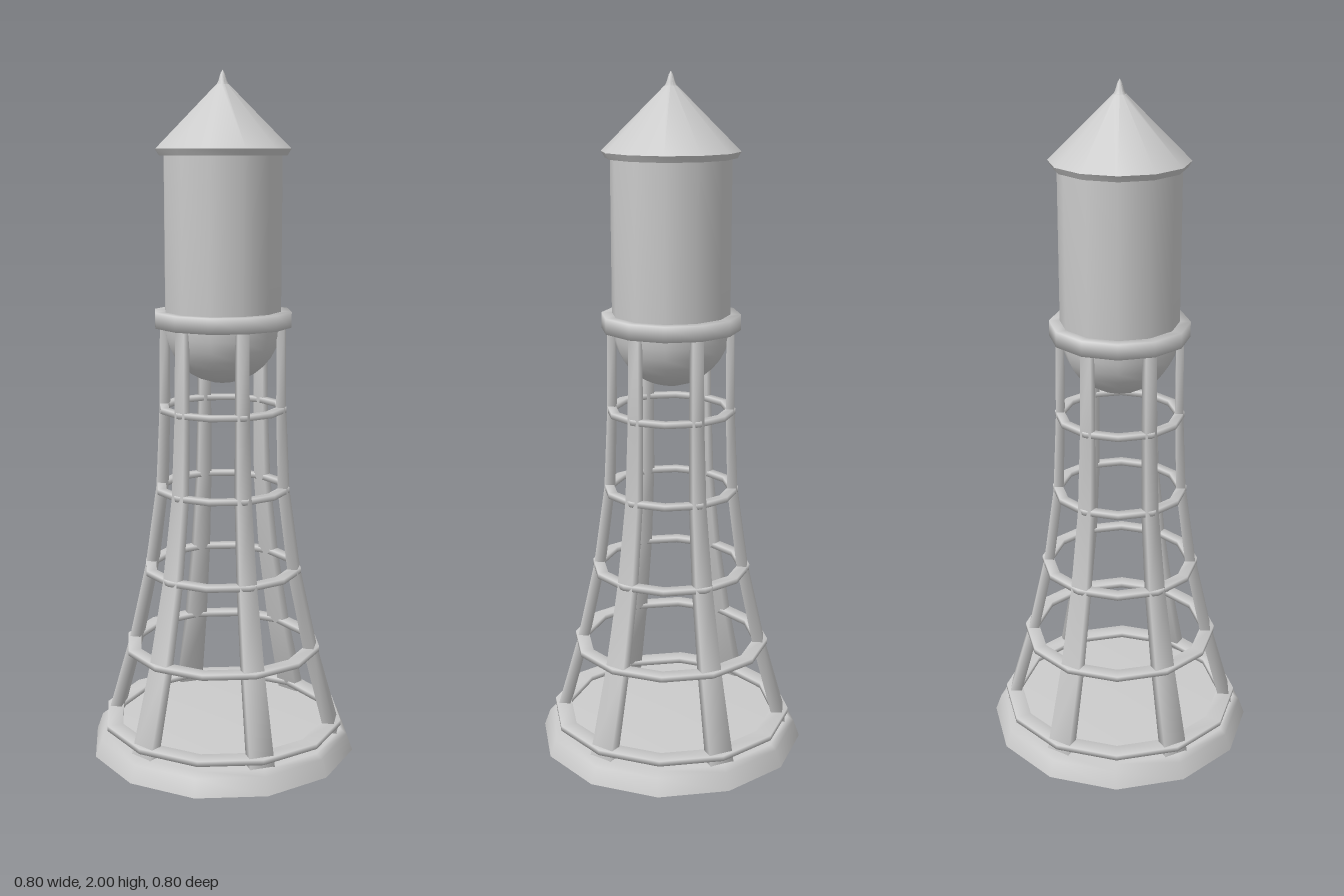
import * as THREE from 'three';
import { mergeVertices, toCreasedNormals } from 'three/addons/utils/BufferGeometryUtils.js';

const SIDES = 12;
const CREASE = THREE.MathUtils.degToRad(34);

// Soft shading across every edge
function softened(geometry) {
  geometry.deleteAttribute('uv');
  geometry.deleteAttribute('normal');
  const merged = mergeVertices(geometry, 1e-4);
  merged.computeVertexNormals();
  return merged;
}

const creased = (geometry) => toCreasedNormals(geometry, CREASE);

// Twelve-sided turned part; profile is [radius, y] from bottom to top on the outside
const turned = (profile) =>
  new THREE.LatheGeometry(profile.map(([r, y]) => new THREE.Vector2(r, y)), SIDES);

// Flat band with a rectangular section
const band = (inner, outer, y0, y1) =>
  turned([[inner, y0], [outer, y0], [outer, y1], [inner, y1], [inner, y0]]);

export function createModel() {
  const model = new THREE.Group();
  model.name = 'waterTower';
  const grey = new THREE.MeshStandardMaterial({ color: 0xcccccc });
  const greyShell = new THREE.MeshStandardMaterial({ color: 0xcccccc, side: THREE.DoubleSide });

  const add = (name, geometry, material = grey) => {
    const mesh = new THREE.Mesh(geometry, material);
    mesh.name = name;
    model.add(mesh);
    return mesh;
  };

  // Base: a shallow shell, open underneath
  add('base', softened(turned([[0.4, 0], [0.382, 0.05], [0.363, 0.064], [0, 0.064]])), greyShell);

  // Horizontal bracing rings: [outer radius, height]
  const rings = [[0.363, 0.085], [0.295, 0.315], [0.237, 0.556], [0.2, 0.8], [0.189, 1.04]];
  rings.forEach(([r, y], i) => add('braceRing' + (i + 1), softened(band(r * 0.865, r, y - 0.008, y + 0.008))));

  // Flared, tapering legs: [y, centre radius, half depth, half width]
  const stations = [
    [0.06, 0.338, 0.018, 0.037], [0.315, 0.268, 0.016, 0.031], [0.556, 0.216, 0.015, 0.026],
    [0.8, 0.183, 0.014, 0.021], [1.04, 0.174, 0.012, 0.018], [1.29, 0.172, 0.011, 0.017],
  ];
  const spans = stations.length - 1;
  const box = new THREE.BoxGeometry(2, spans, 2, 1, spans, 1);
  const p = box.attributes.position;
  for (let i = 0; i < p.count; i++) {
    const [y, r, depth, width] = stations[Math.round(p.getY(i) + spans / 2)];
    p.setXYZ(i, r + p.getX(i) * depth, y, p.getZ(i) * width);
  }
  const legGeometry = softened(box);
  for (let i = 0; i < 6; i++) add('leg' + (i + 1), legGeometry).rotation.y = (i * Math.PI) / 3;

  // Walkway around the foot of the tank
  add('walkway', softened(band(0.15, 0.202, 1.28, 1.325)));

  // Tank with rounded bottom
  const bowl = [];
  for (let i = 0; i <= 8; i++) {
    const a = (i / 8) * Math.PI / 2;
    bowl.push([0.171 * Math.sin(a), 1.286 - 0.171 * Math.cos(a)]);
  }
  add('tank', creased(turned([...bowl, [0.172, 1.78], [0, 1.78]])));

  // Conical roof with undercut eave, and slender pointed finial
  add('roof', creased(turned([[0, 1.765], [0.186, 1.765], [0.197, 1.783], [0.018, 1.96], [0, 1.962]])));
  add('finial', creased(turned([[0, 1.955], [0.018, 1.958], [0.012, 1.97], [0.006, 1.99], [0, 2]])));

  return model;
}
